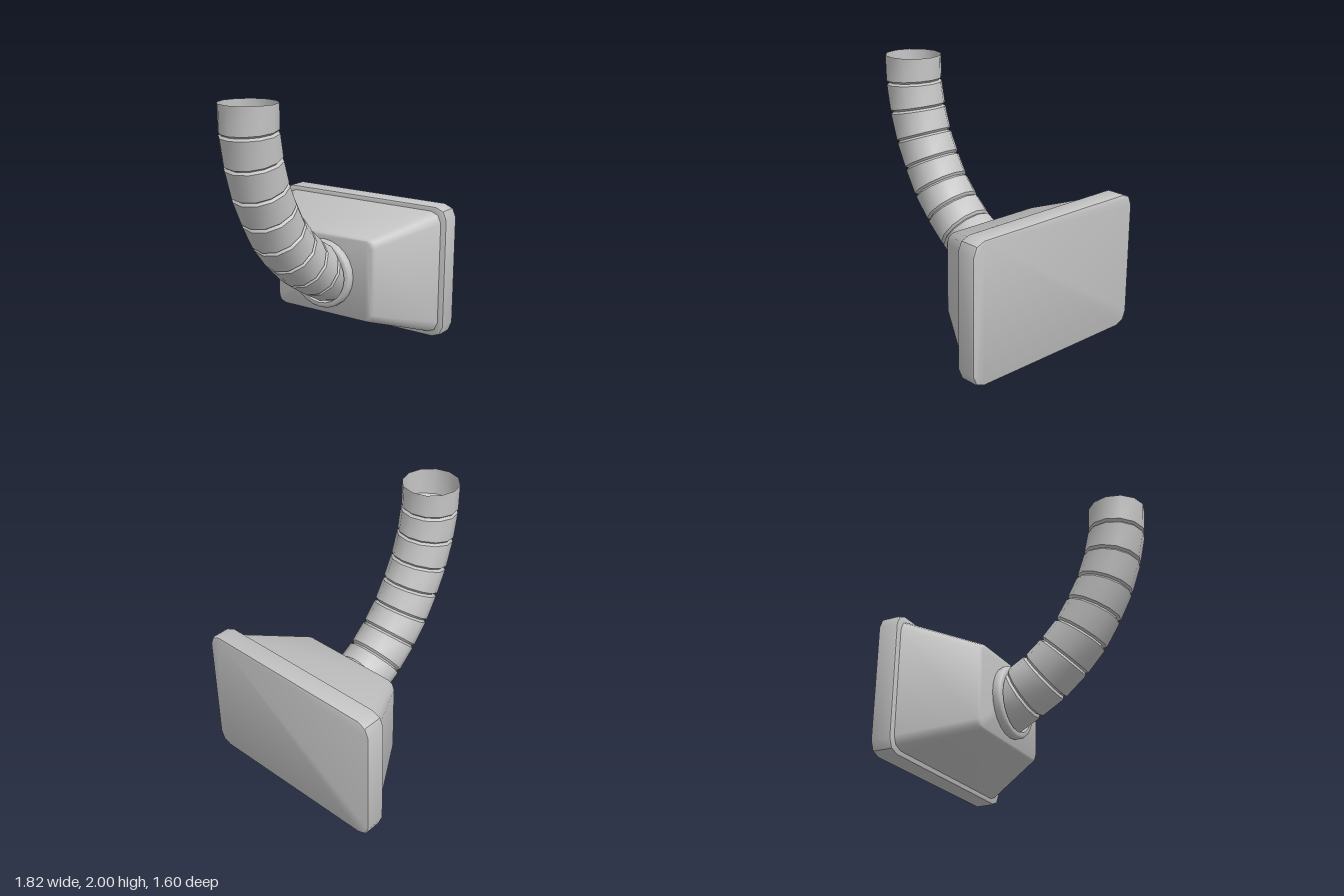
import * as THREE from 'three';
import { toCreasedNormals } from 'three/addons/utils/BufferGeometryUtils.js';

const SIDES = 12;
const HEAD_Y = 0.54;

// Skin a list of equal-length closed rings, optionally closing both ends
function loft(rings, crease, capped = false) {
  const n = rings[0].length;
  const points = rings.flat();
  const index = [];
  for (let i = 0; i < rings.length - 1; i++) {
    for (let j = 0; j < n; j++) {
      const k = (j + 1) % n;
      const a = i * n + j, b = i * n + k, c = b + n, d = a + n;
      index.push(a, b, c, a, c, d);
    }
  }
  if (capped) {
    const last = (rings.length - 1) * n;
    for (let j = 1; j < n - 1; j++) {
      index.push(0, j + 1, j, last, last + j, last + j + 1);
    }
  }
  const geometry = new THREE.BufferGeometry().setFromPoints(points);
  geometry.setIndex(index);
  return toCreasedNormals(geometry, crease);
}

// Rounded rectangle standing across the x axis: half height h, half width w
function roundedRing(x, h, w, r) {
  const ring = [];
  const corners = [[1, 1], [-1, 1], [-1, -1], [1, -1]];
  corners.forEach(([sy, sz], q) => {
    for (let s = 0; s <= 2; s++) {
      const t = (q + s / 2) * Math.PI / 2;
      ring.push(new THREE.Vector3(
        x,
        HEAD_Y + sy * (h - r) + r * Math.cos(t),
        sz * (w - r) + r * Math.sin(t)));
    }
  });
  return ring;
}

// Round hose ring, tilted by the given angle and moved along the hose axis
function hoseRing([x, y, degrees], radius, shift) {
  const a = THREE.MathUtils.degToRad(degrees);
  const across = new THREE.Vector3(Math.cos(a), Math.sin(a), 0);
  const along = new THREE.Vector3(Math.sin(a), -Math.cos(a), 0);
  return Array.from({ length: SIDES }, (_, j) => {
    const t = j / SIDES * Math.PI * 2;
    const p = new THREE.Vector3(x, y, 0).addScaledVector(along, shift);
    p.addScaledVector(across, radius * Math.cos(t));
    p.z += radius * Math.sin(t);
    return p;
  });
}

export function createModel() {
  const model = new THREE.Group();
  const grey = new THREE.MeshStandardMaterial({ color: 0xc4c4c4 });
  grey.name = 'grey';
  grey.side = THREE.DoubleSide;

  const add = (name, geometry) => {
    const mesh = new THREE.Mesh(geometry, grey);
    mesh.name = name;
    model.add(mesh);
    return mesh;
  };

  // Hose joints from the open top down to the head: x, y, tilt
  const joints = [
    [-0.69, 2, 0], [-0.682, 1.79, 5], [-0.64, 1.575, 12.5], [-0.57, 1.365, 20.5],
    [-0.475, 1.178, 28], [-0.365, 1, 36], [-0.225, 0.845, 44], [-0.065, 0.708, 53],
    [0.11, 0.605, 62], [0.245, 0.53, 72], [0.32, 0.52, 85],
  ];
  const hose = [];
  joints.forEach((joint, i) => {
    const grooved = i > 0 && i < 9;
    if (grooved) {
      hose.push(
        hoseRing(joint, 0.22, -0.016),
        hoseRing(joint, 0.2, 0),
        hoseRing(joint, 0.22, 0.016));
    } else {
      hose.push(hoseRing(joint, 0.22, 0));
    }
  });
  add('hose', loft(hose, 0.6));

  // Collar ring where the hose enters the head
  const collarProfile = [
    [0.235, 0.08], [0.235, 0.0], [0.26, 0.0], [0.272, 0.008],
    [0.28, 0.022], [0.28, 0.055], [0.272, 0.08],
  ].map(([r, h]) => new THREE.Vector2(r, -h));
  const collarGeometry = new THREE.LatheGeometry(collarProfile.reverse(), 24);
  const collar = add('collar', toCreasedNormals(collarGeometry, 0.7));
  collar.rotation.z = Math.PI / 2;
  collar.position.set(0.165, HEAD_Y + 0.005, 0);

  // Tapered funnel with a softened small end
  add('funnel', loft([
    roundedRing(0.23, 0.315, 0.44, 0.05),
    roundedRing(0.237, 0.327, 0.455, 0.06),
    roundedRing(0.25, 0.335, 0.465, 0.065),
    roundedRing(0.76, 0.505, 0.76, 0.09),
  ], 0.85, true));

  // Broad rounded end plate
  add('endPlate', loft([
    roundedRing(0.745, 0.522, 0.785, 0.085),
    roundedRing(0.75, 0.534, 0.796, 0.095),
    roundedRing(0.762, 0.54, 0.8, 0.1),
    roundedRing(0.893, 0.54, 0.8, 0.1),
    roundedRing(0.905, 0.534, 0.796, 0.095),
    roundedRing(0.91, 0.522, 0.785, 0.085),
  ], 0.7, true));

  return model;
}
